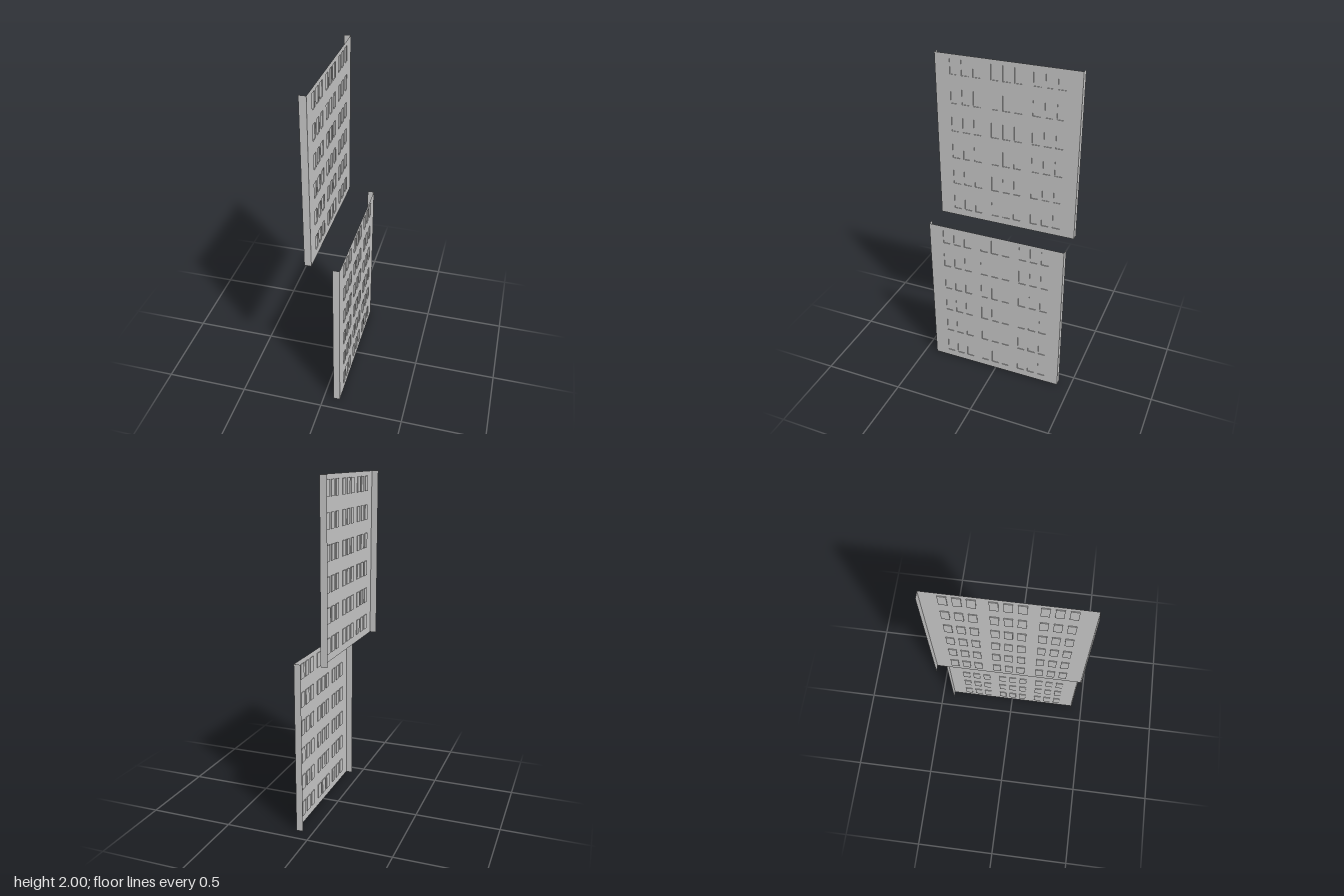
import * as THREE from 'three';
import { mergeGeometries } from 'three/addons/utils/BufferGeometryUtils.js';

const material = new THREE.MeshStandardMaterial({ color: 0xcccccc, side: THREE.DoubleSide });
const HEIGHT = 1, HALF = 0.422, FLANGE = 0.04, DEPTH = 0.004;
const SLOT_W = 0.044, SLOT_H = 0.088;

// Centres of the pressed slots: six rows, three groups of three columns
function slotCentres() {
  const list = [];
  for (let row = 0; row < 6; row++)
    for (let group = -1; group <= 1; group++)
      for (let col = -1; col <= 1; col++)
        list.push({ z: group * 0.243 + col * 0.0685, y: 0.089 + row * 0.168 });
  return list;
}

function rectangle(path, x0, y0, x1, y1) {
  path.moveTo(x0, y0);
  path.lineTo(x1, y0);
  path.lineTo(x1, y1);
  path.lineTo(x0, y1);
  path.closePath();
  return path;
}

function mesh(name, geometry) {
  const m = new THREE.Mesh(geometry, material);
  m.name = name;
  return m;
}

// Thin sheet panel facing +x, with its edges folded back towards -x
function createPanel(name) {
  const panel = new THREE.Group();
  panel.name = name;
  const slots = slotCentres();

  // Face sheet with an opening for each slot
  const face = rectangle(new THREE.Shape(), -HALF, 0, HALF, HEIGHT);
  for (const { z, y } of slots)
    face.holes.push(rectangle(new THREE.Path(),
      -z - SLOT_W / 2, y - SLOT_H / 2, -z + SLOT_W / 2, y + SLOT_H / 2));
  panel.add(mesh('faceSheet', new THREE.ShapeGeometry(face).rotateY(Math.PI / 2)));

  // Shallow pockets behind the openings: boxes without their +x side
  const pockets = slots.map(({ z, y }) => {
    const box = new THREE.BoxGeometry(DEPTH, SLOT_H, SLOT_W);
    box.setIndex(Array.from(box.index.array).slice(6));
    return box.translate(-DEPTH / 2, y, z);
  });
  panel.add(mesh('slotPockets', mergeGeometries(pockets)));

  // Folded side flanges
  for (const side of [-1, 1]) {
    const flange = new THREE.PlaneGeometry(FLANGE, HEIGHT);
    if (side < 0) flange.rotateY(Math.PI);
    flange.translate(-FLANGE / 2, HEIGHT / 2, side * HALF);
    panel.add(mesh(side > 0 ? 'frontFlange' : 'backFlange', flange));
  }
  return panel;
}

export function createModel() {
  const model = new THREE.Group();
  model.name = 'slottedPanels';

  const upper = createPanel('upperPanel');
  upper.position.set(-0.06, 1, -0.003);
  const lower = createPanel('lowerPanel');
  lower.position.set(0.1, 0, 0.003);

  model.add(upper, lower);
  return model;
}
